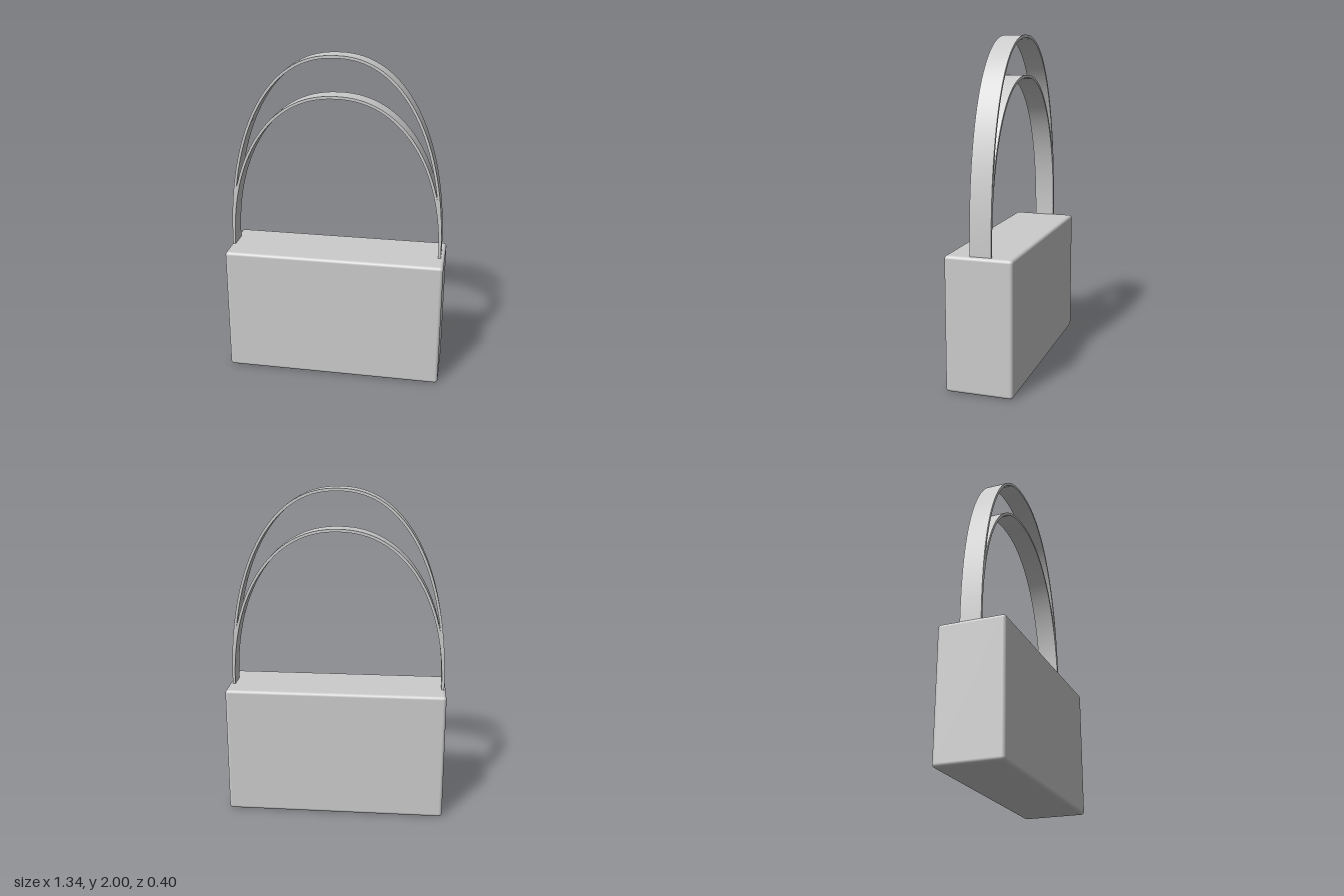
import * as THREE from 'three';
import { RoundedBoxGeometry } from 'three/addons/geometries/RoundedBoxGeometry.js';
import { toCreasedNormals } from 'three/addons/utils/BufferGeometryUtils.js';

const BODY_HEIGHT = 0.795;
const THICKNESS = 0.016;

// Half of a slightly squared ellipse, from the +x end over the top to the -x end
function archPoints(rx, ry, power, segments = 64) {
  const points = [];
  for (let i = 0; i <= segments; i++) {
    const a = (i / segments) * Math.PI;
    const c = Math.cos(a);
    const s = Math.max(0, Math.sin(a));
    points.push(new THREE.Vector2(
      rx * Math.sign(c) * Math.abs(c) ** (2 / power),
      BODY_HEIGHT + ry * s ** (2 / power)
    ));
  }
  return points;
}

// Flat band bent over an arch, its feet sunk a little into the body
function makeStrap(name, top, power, material) {
  const rx = 0.653;
  const ry = top - BODY_HEIGHT;
  const sink = BODY_HEIGHT - 0.03;
  const outer = archPoints(rx, ry, power);
  const inner = archPoints(rx - THICKNESS, ry - THICKNESS, power).reverse();
  const shape = new THREE.Shape([
    new THREE.Vector2(rx, sink),
    ...outer,
    new THREE.Vector2(-rx, sink),
    new THREE.Vector2(-rx + THICKNESS, sink),
    ...inner,
    new THREE.Vector2(rx - THICKNESS, sink),
  ]);
  const geometry = new THREE.ExtrudeGeometry(shape, { depth: 0.126, bevelEnabled: false });
  const strap = new THREE.Mesh(toCreasedNormals(geometry, 0.6), material);
  strap.name = name;
  strap.position.set(-0.006, 0, -0.071);
  return strap;
}

export function createModel() {
  const model = new THREE.Group();
  model.name = 'handbag';
  const material = new THREE.MeshStandardMaterial({ color: 0xcccccc });

  // Boxy body with softened edges
  const body = new THREE.Mesh(new RoundedBoxGeometry(1.34, BODY_HEIGHT, 0.4, 4, 0.02), material);
  body.name = 'bagBody';
  body.position.y = BODY_HEIGHT / 2;
  model.add(body);

  // Two handles sharing the same feet
  model.add(makeStrap('tallHandle', 2.0, 2.25, material));
  model.add(makeStrap('shortHandle', 1.765, 2.2, material));

  return model;
}
